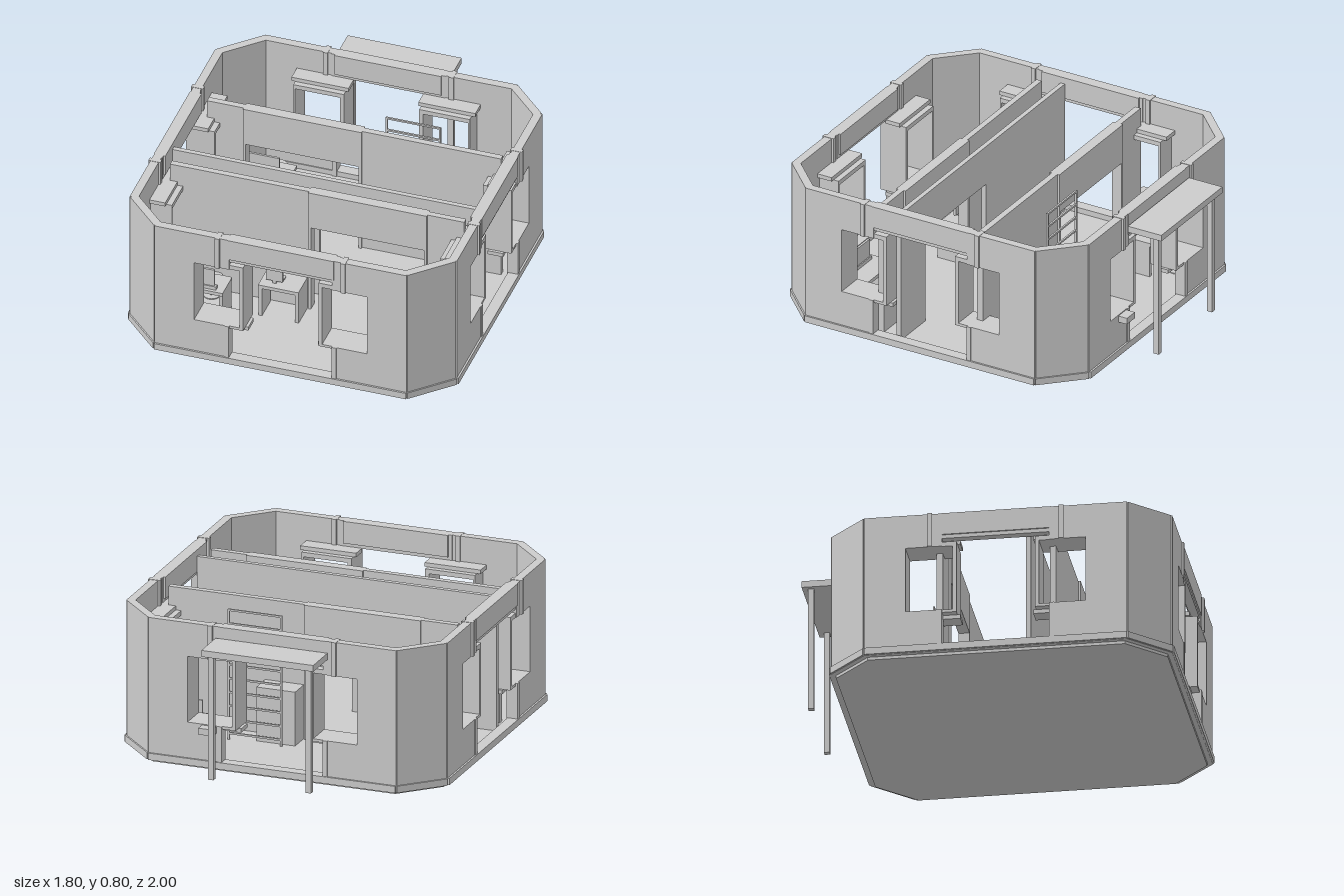
import * as THREE from 'three';

const plaster = new THREE.MeshStandardMaterial({ color: 0xcccccc });
plaster.name = 'light grey';

// Box given by its limits on each axis
function box(parent, name, x0, x1, y0, y1, z0, z1) {
  const m = new THREE.Mesh(new THREE.BoxGeometry(x1 - x0, y1 - y0, z1 - z0), plaster);
  m.position.set((x0 + x1) / 2, (y0 + y1) / 2, (z0 + z1) / 2);
  m.name = name;
  parent.add(m);
  return m;
}

function group(parent, name, x = 0, y = 0, z = 0) {
  const g = new THREE.Group();
  g.name = name;
  g.position.set(x, y, z);
  parent.add(g);
  return g;
}

// Eight-sided slab, half width r with corners cut from c
function octagonSlab(parent, name, r, c, y0, y1) {
  const pts = [[c, r], [r, c], [r, -c], [c, -r], [-c, -r], [-r, -c], [-r, c], [-c, r]];
  const shape = new THREE.Shape(pts.map(p => new THREE.Vector2(p[0], p[1])));
  const geo = new THREE.ExtrudeGeometry(shape, { depth: y1 - y0, bevelEnabled: false });
  geo.rotateX(-Math.PI / 2);
  const m = new THREE.Mesh(geo, plaster);
  m.position.y = y0;
  m.name = name;
  parent.add(m);
}

// Half of an outer wall; s is the side of the doorway
function halfWall(side, s) {
  const b = (name, a, c, ...rest) => box(side, name, s > 0 ? a : -c, s > 0 ? c : -a, ...rest);
  b('wallPanel', 0.47, 0.685, 0.02, 0.795, 0.845, 0.89);
  b('wallBelowWindow', 0.305, 0.47, 0.02, 0.25, 0.845, 0.89);
  b('wallAboveWindow', 0.305, 0.47, 0.61, 0.795, 0.845, 0.89);
  b('lowerDoorPost', 0.28, 0.305, 0.02, 0.25, 0.835, 0.895);
  b('upperDoorPost', 0.28, 0.31, 0.61, 0.795, 0.84, 0.89);
  b('pilaster', 0.33, 0.355, 0.61, 0.797, 0.835, 0.9);
  // window surround, reaching into the doorway
  b('innerJamb', 0.205, 0.225, 0.237, 0.635, 0.73, 0.885);
  b('outerJamb', 0.47, 0.48, 0.237, 0.635, 0.73, 0.85);
  b('windowHead', 0.205, 0.48, 0.61, 0.635, 0.73, 0.885);
  b('windowSill', 0.205, 0.48, 0.235, 0.25, 0.73, 0.885);
  b('headSlab', 0.19, 0.5, 0.635, 0.657, 0.76, 0.845);
  b('sillSlab', 0.19, 0.5, 0.214, 0.236, 0.76, 0.845);
}

function outerSide(parent, k) {
  const side = group(parent, 'outerWall');
  side.rotation.y = k * Math.PI / 2;
  halfWall(side, 1);
  halfWall(side, -1);
  box(side, 'lintel', -0.29, 0.29, 0.675, 0.795, 0.83, 0.893);
  box(side, 'lintelLip', -0.28, 0.28, 0.655, 0.675, 0.84, 0.885);
  box(side, 'baseTrim', -0.685, 0.685, 0.018, 0.055, 0.84, 0.9);

  // corner panel at 45 degrees
  const corner = group(side, 'corner');
  corner.rotation.y = Math.PI / 4;
  box(corner, 'cornerPanel', -0.138, 0.138, 0.02, 0.795, 1.07, 1.114);
  box(corner, 'cornerTrim', -0.142, 0.142, 0.018, 0.055, 1.06, 1.122);
}

// Partition with one opening from a to b and a thicker frame round it
function partition(parent, name, half, z0, z1, a, b, frame) {
  const g = group(parent, name);
  const top = 0.76;
  box(g, 'wallLeftOfOpening', -half, a, 0.02, top, z0, z1);
  box(g, 'wallRightOfOpening', b, half, 0.02, top, z0, z1);
  box(g, 'wallAboveOpening', a, b, 0.54, top, z0, z1);
  if (!frame) return;
  box(g, 'frameHead', a - 0.015, b + 0.015, 0.54, top, z0 - 0.012, z1 + 0.012);
  for (const x of [a - 0.0075, b + 0.0075]) {
    box(g, 'frameJamb', x - 0.0075, x + 0.0075, 0.02, 0.54, z0 - 0.012, z1 + 0.012);
  }
}

// Desk with panel legs and a screen
function desk(parent, x, z, stoolZ) {
  const g = group(parent, 'desk', x, 0, z);
  box(g, 'deskTop', -0.137, 0.137, 0.2, 0.22, -0.077, 0.077);
  for (const s of [-1, 1]) box(g, 'deskLeg', s * 0.125 - 0.01, s * 0.125 + 0.01, 0.02, 0.2, -0.07, 0.07);
  const dir = Math.sign(z - stoolZ);
  const c = 0.048 * dir;
  box(g, 'screen', -0.085, 0.085, 0.24, 0.34, c - 0.006, c + 0.006);
  box(g, 'screenFoot', -0.095, 0.095, 0.22, 0.24, c - 0.012, c + 0.012);

  const stool = group(parent, 'stool', x, 0, stoolZ);
  for (const [r, y0, y1] of [[0.06, 0.11, 0.135], [0.012, 0.03, 0.11], [0.045, 0.02, 0.03]]) {
    const m = new THREE.Mesh(new THREE.CylinderGeometry(r, r, y1 - y0, 24), plaster);
    m.position.y = (y0 + y1) / 2;
    m.name = 'stoolPart';
    stool.add(m);
  }
}

export function createModel() {
  const model = new THREE.Group();
  model.name = 'building';

  // Floor and outer shell, centred slightly forward
  const shell = group(model, 'shell', 0, 0, 0.1);
  octagonSlab(shell, 'foundation', 0.865, 0.67, 0, 0.016);
  octagonSlab(shell, 'floor', 0.89, 0.685, 0.016, 0.025);
  for (let k = 0; k < 4; k++) outerSide(shell, k);

  // Inner partitions
  partition(model, 'backPartition', 0.8, -0.222, -0.188, -0.585, 0.03, true);
  partition(model, 'middlePartition', 0.83, 0.25, 0.276, -0.03, 0.58, false);
  partition(model, 'frontPartition', 0.8, 0.37, 0.402, -0.03, 0.585, true);

  // Back porch and outside box
  const porch = group(model, 'porch');
  box(porch, 'porchRoof', -0.31, 0.31, 0.7, 0.735, -1, -0.8);
  for (const s of [-1, 1]) box(porch, 'porchPost', s * 0.27 - 0.015, s * 0.27 + 0.015, 0.02, 0.7, -0.97, -0.94);
  box(model, 'outsideBox', 0.31, 0.39, 0.21, 0.245, -0.842, -0.79);

  // Work desks
  desk(model, -0.555, 0.61, 0.455);
  desk(model, 0.55, 0.61, 0.455);
  desk(model, -0.555, -0.43, -0.585);

  // Reception desk
  const rec = group(model, 'receptionDesk');
  box(rec, 'deskTop', -0.27, -0.05, 0.2, 0.22, 0.405, 0.555);
  for (const x of [-0.27, -0.07]) box(rec, 'deskSide', x, x + 0.02, 0.02, 0.2, 0.41, 0.55);
  box(rec, 'screen', -0.24, -0.15, 0.235, 0.315, 0.5, 0.515);
  box(rec, 'screenStand', -0.205, -0.185, 0.22, 0.24, 0.5, 0.515);
  box(rec, 'keyboard', -0.235, -0.155, 0.22, 0.228, 0.443, 0.475);

  // Counter, rack and chair in the back room
  box(model, 'counter', 0.05, 0.265, 0.02, 0.32, -0.345, -0.222);
  const rack = group(model, 'rack');
  for (const x of [0.11, 0.4]) box(rack, 'rackPost', x, x + 0.01, 0.02, 0.74, -0.38, -0.37);
  for (let i = 0; i < 10; i++) {
    box(rack, 'rackBar', 0.12, 0.4, 0.055 + i * 0.075, 0.065 + i * 0.075, -0.38, -0.37);
  }
  const chair = group(model, 'chair');
  box(chair, 'seat', 0.48, 0.622, 0.12, 0.145, -0.5, -0.357);
  box(chair, 'chairBack', 0.5, 0.602, 0.145, 0.27, -0.508, -0.497);
  for (const x of [0.485, 0.602]) {
    for (const z of [-0.495, -0.377]) box(chair, 'chairLeg', x, x + 0.015, 0.02, 0.12, z, z + 0.015);
  }
  return model;
}
